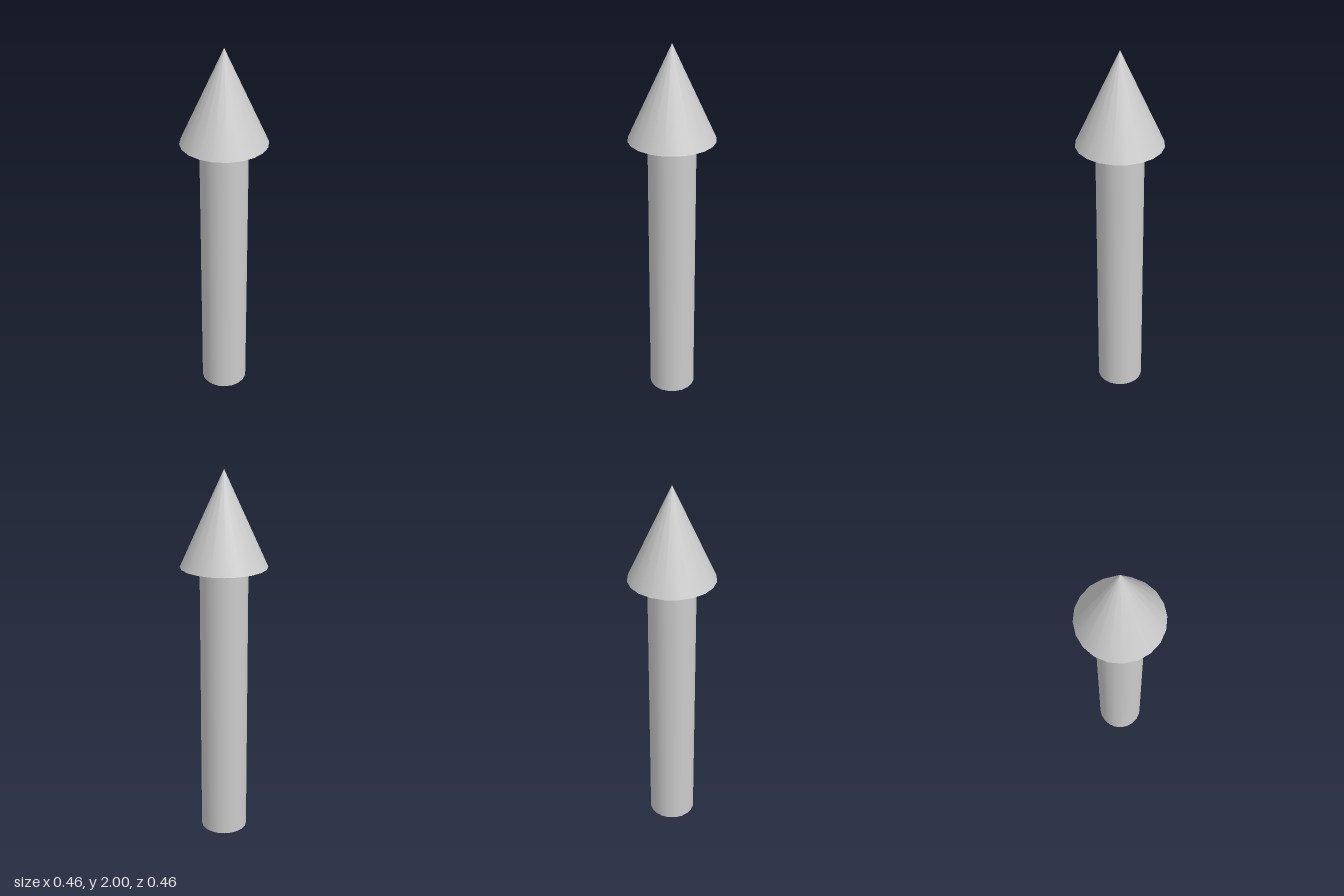
import * as THREE from 'three';

const SIDES = 20;
const HEIGHT = 2;
const HEAD_BASE = 1.503;
const HEAD_RADIUS = 0.228;
const SHAFT_RADIUS = 0.126;

export function createModel() {
  const group = new THREE.Group();
  group.name = 'arrow';
  const grey = new THREE.MeshStandardMaterial({ color: 0xcccccc });

  const addPart = (name, geometry, y) => {
    const mesh = new THREE.Mesh(geometry, grey);
    mesh.name = name;
    mesh.position.y = y;
    group.add(mesh);
  };

  // Straight round shaft standing on the ground
  addPart('shaft', new THREE.CylinderGeometry(SHAFT_RADIUS, SHAFT_RADIUS, HEAD_BASE, SIDES), HEAD_BASE / 2);

  // Pointed conical head with a closed underside
  const headHeight = HEIGHT - HEAD_BASE;
  addPart('head', new THREE.ConeGeometry(HEAD_RADIUS, headHeight, SIDES), HEAD_BASE + headHeight / 2);

  return group;
}
